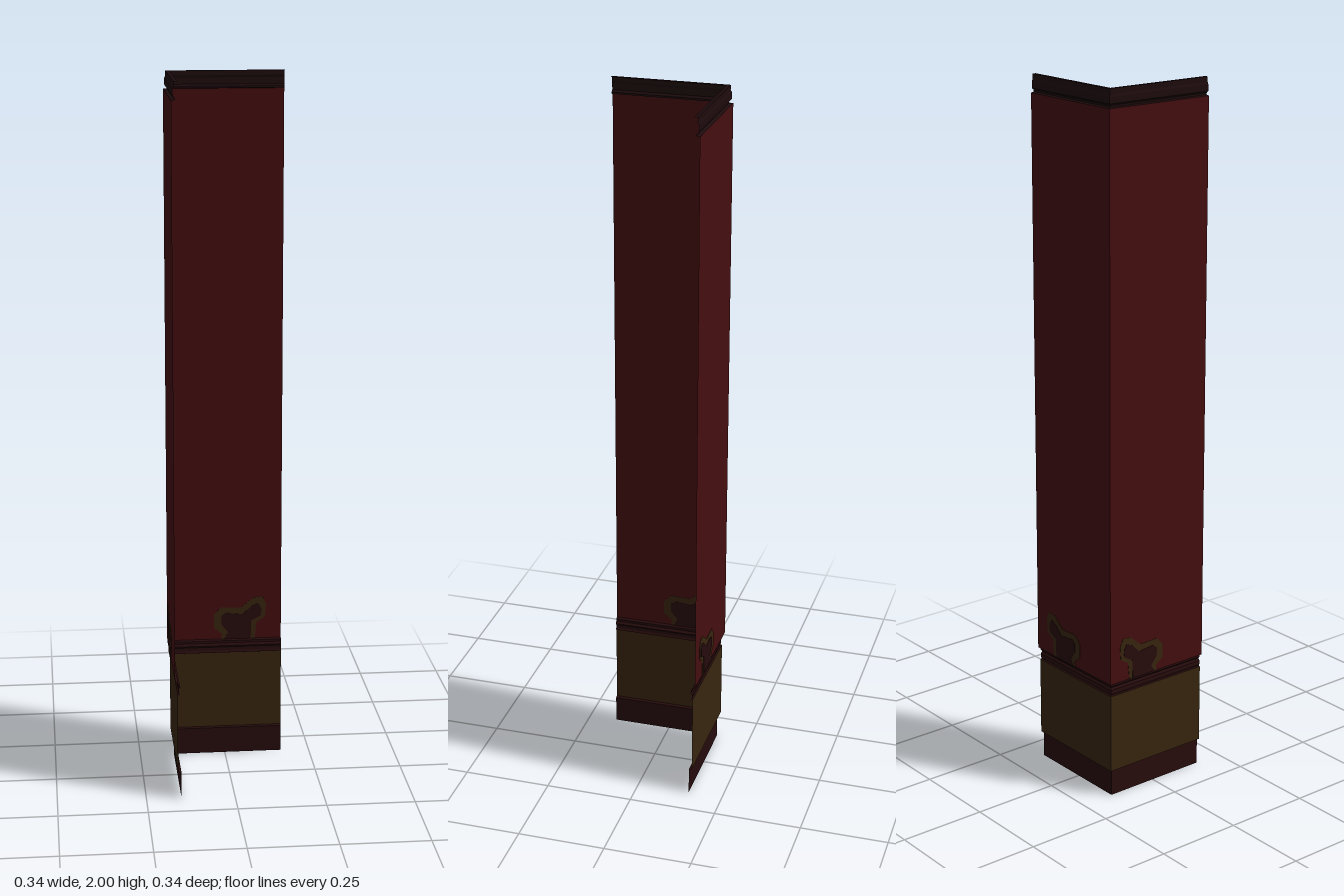
import * as THREE from 'three';

const paint = (name, color) => {
  const m = new THREE.MeshStandardMaterial({ color, side: THREE.DoubleSide });
  m.name = name;
  return m;
};

const R = 0.167; // half width of the corner

// Sweeps an [inset, height] profile along the two legs of the corner
function cornerSheet(name, material, profile) {
  const path = (d, y) => [[R, y, -R + d], [-R + d, y, -R + d], [-R + d, y, R]];
  const pos = [];
  for (let i = 0; i + 1 < profile.length; i++) {
    const lo = path(...profile[i]), hi = path(...profile[i + 1]);
    for (let k = 0; k < 2; k++) {
      pos.push(...lo[k], ...lo[k + 1], ...hi[k + 1], ...lo[k], ...hi[k + 1], ...hi[k]);
    }
  }
  const geo = new THREE.BufferGeometry();
  geo.setAttribute('position', new THREE.Float32BufferAttribute(pos, 3));
  geo.computeVertexNormals();
  const mesh = new THREE.Mesh(geo, material);
  mesh.name = name;
  return mesh;
}

// Thin plate showing on both faces of the wall
function patch(name, material, points, depth) {
  const shape = new THREE.Shape(points.map(([x, y]) => new THREE.Vector2(x, y)));
  const geo = new THREE.ExtrudeGeometry(shape, { depth, bevelEnabled: false });
  geo.translate(0, 0, -depth / 2);
  const mesh = new THREE.Mesh(geo, material);
  mesh.name = name;
  return mesh;
}

export function createModel() {
  const red = paint('dark red plaster', 0x440e0f);
  const ochre = paint('dark ochre', 0x38250f);
  const brown = paint('red brown wood', 0x260b0c);
  const black = paint('blackened wood', 0x1d0b0d);

  const group = new THREE.Group();
  group.name = 'wallCorner';

  // Skirting, dado, rail, wall and cornice from bottom to top
  group.add(
    cornerSheet('skirting', brown, [[0.016, 0], [0.016, 0.078], [0.007, 0.08]]),
    cornerSheet('dado', ochre, [[0.007, 0.08], [0.007, 0.31]]),
    cornerSheet('dadoRail', brown, [
      [0.007, 0.31], [0.012, 0.312], [0.009, 0.318], [0.009, 0.328],
      [0.014, 0.334], [0.008, 0.34], [0.008, 0.347], [0, 0.35]]),
    cornerSheet('wall', red, [[0, 0.35], [0, 1.95]]),
    cornerSheet('cornice', black, [
      [0, 1.95], [0.009, 1.952], [0.009, 1.957], [0.003, 1.962],
      [0.003, 1.98], [0.006, 1.986], [0.006, 2], [0.016, 2]]),
  );

  // Worn patch above the rail, once on each leg
  const edge = [[-0.01, 0.35], [-0.005, 0.365], [-0.03, 0.385], [-0.03, 0.425], [-0.01, 0.447],
    [0.05, 0.445], [0.085, 0.475], [0.112, 0.478], [0.123, 0.455], [0.12, 0.415],
    [0.095, 0.4], [0.09, 0.35]];
  const core = [[0, 0.35], [0.012, 0.37], [-0.008, 0.395], [-0.008, 0.42], [0.005, 0.43],
    [0.055, 0.425], [0.08, 0.45], [0.1, 0.458], [0.11, 0.44], [0.108, 0.42],
    [0.08, 0.405], [0.078, 0.35]];
  for (const side of ['back', 'right']) {
    const worn = new THREE.Group();
    worn.name = side + 'WornPatch';
    worn.add(patch('patchEdge', ochre, edge, 0.002), patch('patchCore', brown, core, 0.004));
    if (side === 'back') {
      worn.position.set(0, 0, -R);
    } else {
      worn.rotation.y = Math.PI / 2;
      worn.position.set(-R, 0, -0.01);
    }
    group.add(worn);
  }
  return group;
}
